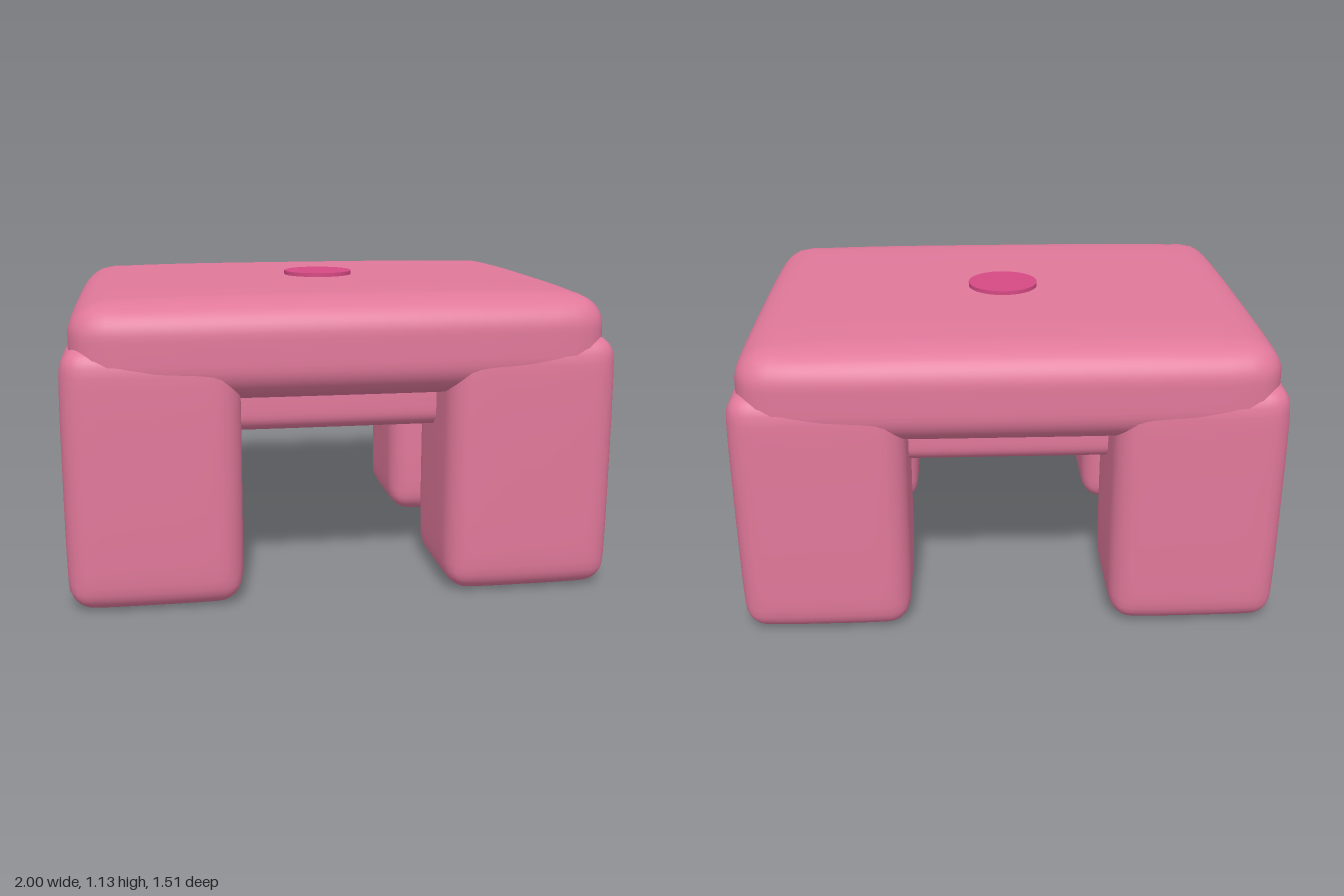
import * as THREE from 'three';
import { mergeVertices } from 'three/addons/utils/BufferGeometryUtils.js';

const pink = new THREE.MeshStandardMaterial({ color: 0xe0789a });
pink.name = 'pink';
const deepPink = new THREE.MeshStandardMaterial({ color: 0xd64a84 });
deepPink.name = 'deep pink';

// Soft cushion block: rounded edges of radius r, faces swelling by "bulge" towards their middle
function softBlock(width, height, depth, r, bulge) {
  const half = [width / 2, height / 2, depth / 2];
  let geometry = new THREE.BoxGeometry(2, 2, 2, 24, 24, 24);
  geometry.deleteAttribute('uv');
  geometry.deleteAttribute('normal');
  geometry = mergeVertices(geometry);
  const pos = geometry.attributes.position;
  const p = new THREE.Vector3(), inner = new THREE.Vector3();
  const limit = new THREE.Vector3(...half).subScalar(r);
  for (let i = 0; i < pos.count; i++) {
    // Pack the grid lines towards the edges
    const t = [pos.getX(i), pos.getY(i), pos.getZ(i)].map(v => Math.sin(v * Math.PI / 2));
    p.set(t[0] * half[0], t[1] * half[1], t[2] * half[2]);
    inner.copy(p).clamp(limit.clone().negate(), limit);
    p.sub(inner).setLength(r).add(inner);
    // Draw each face in slightly near its borders
    const q = p.toArray().map((v, k) => v / half[k]);
    const s = q.map(v => v ** 4);
    const out = q.map((v, k) => v * (half[k] - bulge * Math.min(1, s[(k + 1) % 3] + s[(k + 2) % 3])));
    pos.setXYZ(i, ...out);
  }
  geometry.computeVertexNormals();
  return geometry;
}

export function createModel() {
  const model = new THREE.Group();
  model.name = 'stool';

  function add(name, geometry, material, x, y, z) {
    const mesh = new THREE.Mesh(geometry, material);
    mesh.name = name;
    mesh.position.set(x, y, z);
    model.add(mesh);
  }

  // Seat slab and the smaller block beneath it
  add('seat', softBlock(1.94, 0.38, 1.51, 0.13, 0.015), pink, 0, 0.93, 0);
  add('underBlock', softBlock(1.54, 0.34, 1.06, 0.06, 0.006), pink, 0, 0.76, 0);

  // Four chunky legs
  const leg = softBlock(0.63, 0.955, 0.533, 0.085, 0.008);
  for (const [side, sx] of [['Left', 1], ['Right', -1]]) {
    for (const [end, sz] of [['front', 1], ['back', -1]]) {
      add(`${end}${side}Leg`, leg, pink, sx * 0.685, 0.4825, sz * 0.4885);
    }
  }

  // Round button on top of the seat
  add('button', new THREE.CylinderGeometry(0.135, 0.135, 0.03, 48), deepPink, 0, 1.12, 0);
  return model;
}
